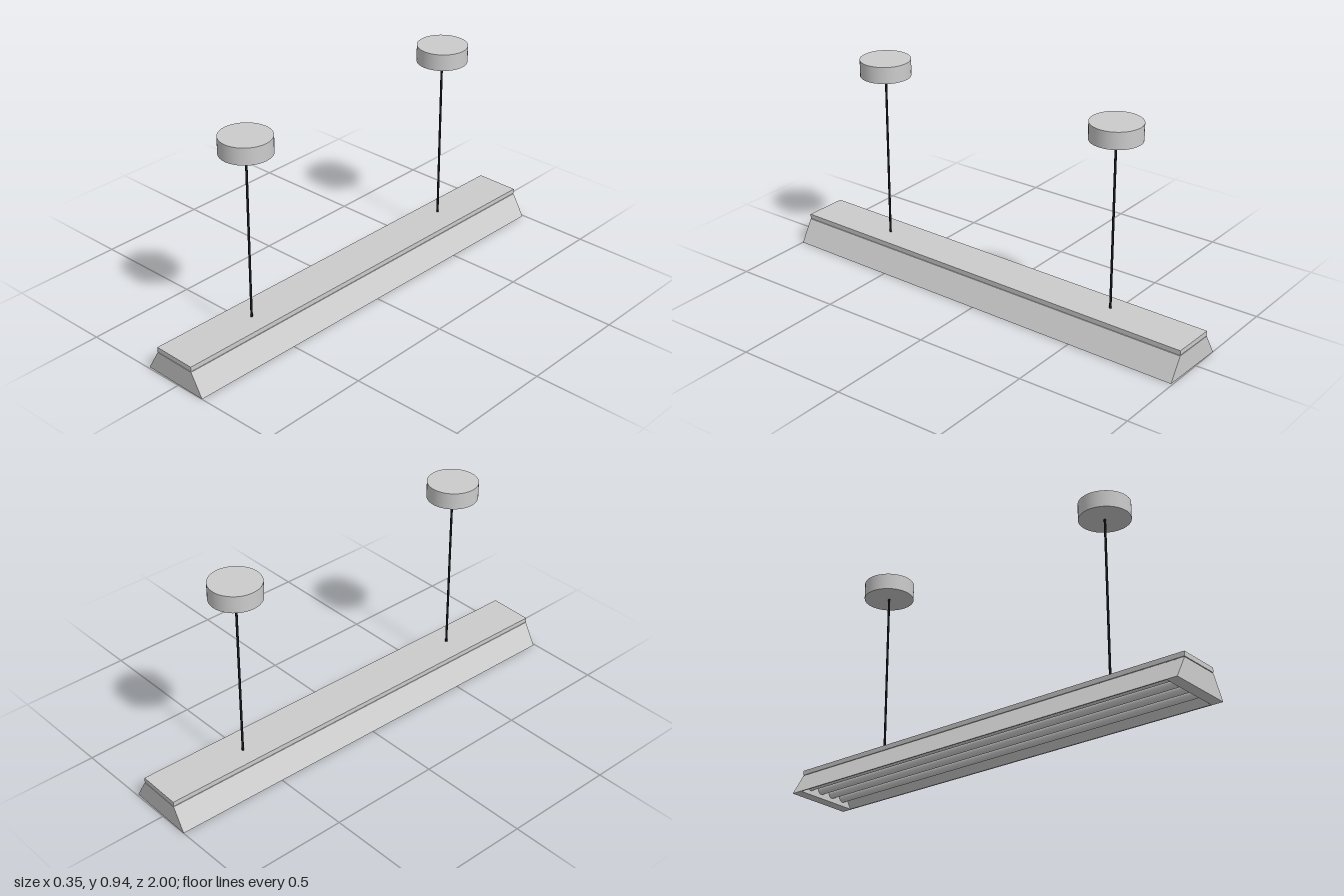
import * as THREE from 'three';

const metal = new THREE.MeshStandardMaterial({ color: 0xcccccc });
metal.name = 'lightGreyMetal';
const black = new THREE.MeshStandardMaterial({ color: 0x14161a });
black.name = 'blackRod';
const glass = new THREE.MeshStandardMaterial({ color: 0xd6d6d6 });
glass.name = 'paleTube';

const LENGTH = 1.993, END = 0.05;

function add(parent, name, geometry, material, x = 0, y = 0, z = 0) {
  const mesh = new THREE.Mesh(geometry, material);
  mesh.name = name;
  mesh.position.set(x, y, z);
  parent.add(mesh);
  return mesh;
}

// Extrudes an outline along z, centred on z = 0
function prism(points, length) {
  const shape = new THREE.Shape(points.map(([x, y]) => new THREE.Vector2(x, y)));
  const geometry = new THREE.ExtrudeGeometry(shape, { depth: length, bevelEnabled: false });
  return geometry.translate(0, 0, -length / 2);
}

export function createModel() {
  const model = new THREE.Group();
  model.name = 'pendantLight';

  // Long fitting, turned very slightly under its rods
  const fitting = new THREE.Group();
  fitting.name = 'fitting';
  fitting.rotation.y = -0.02;
  model.add(fitting);

  // Open-bottomed reflector channel
  add(fitting, 'reflector', prism([
    [-0.157, 0], [-0.099, 0.098], [0.099, 0.098], [0.157, 0],
    [0.151, 0], [0.096, 0.092], [-0.096, 0.092], [-0.151, 0],
  ], LENGTH - 2 * END), metal);

  // Solid ends that hold the tubes
  for (const s of [-1, 1]) {
    add(fitting, 'endBlock', prism([
      [-0.157, 0], [0.157, 0], [0.099, 0.098], [-0.099, 0.098],
    ], END), metal, 0, 0, s * (LENGTH - END) / 2);
  }

  // Top cover on a slightly narrower neck
  add(fitting, 'coverNeck', new THREE.BoxGeometry(0.19, 0.006, LENGTH - 0.01), metal, 0, 0.0995, 0);
  add(fitting, 'topCover', new THREE.BoxGeometry(0.198, 0.021, LENGTH), metal, 0, 0.1115, 0);

  // Four lamp tubes with end sockets
  for (let i = 0; i < 4; i++) {
    const x = (i - 1.5) * 0.066;
    const tube = new THREE.CylinderGeometry(0.019, 0.019, LENGTH - 2 * END, 20);
    add(fitting, 'lampTube', tube.rotateX(Math.PI / 2), glass, x, 0.037, 0);
  }

  // Rods and ceiling canopies
  for (const z of [0.588, -0.588]) {
    add(model, 'rod', new THREE.CylinderGeometry(0.005, 0.005, 0.76, 12), black, -0.005, 0.495, z);
    add(model, 'canopy', new THREE.CylinderGeometry(0.11, 0.11, 0.074, 40), metal, -0.005, 0.906, z);
  }
  return model;
}
